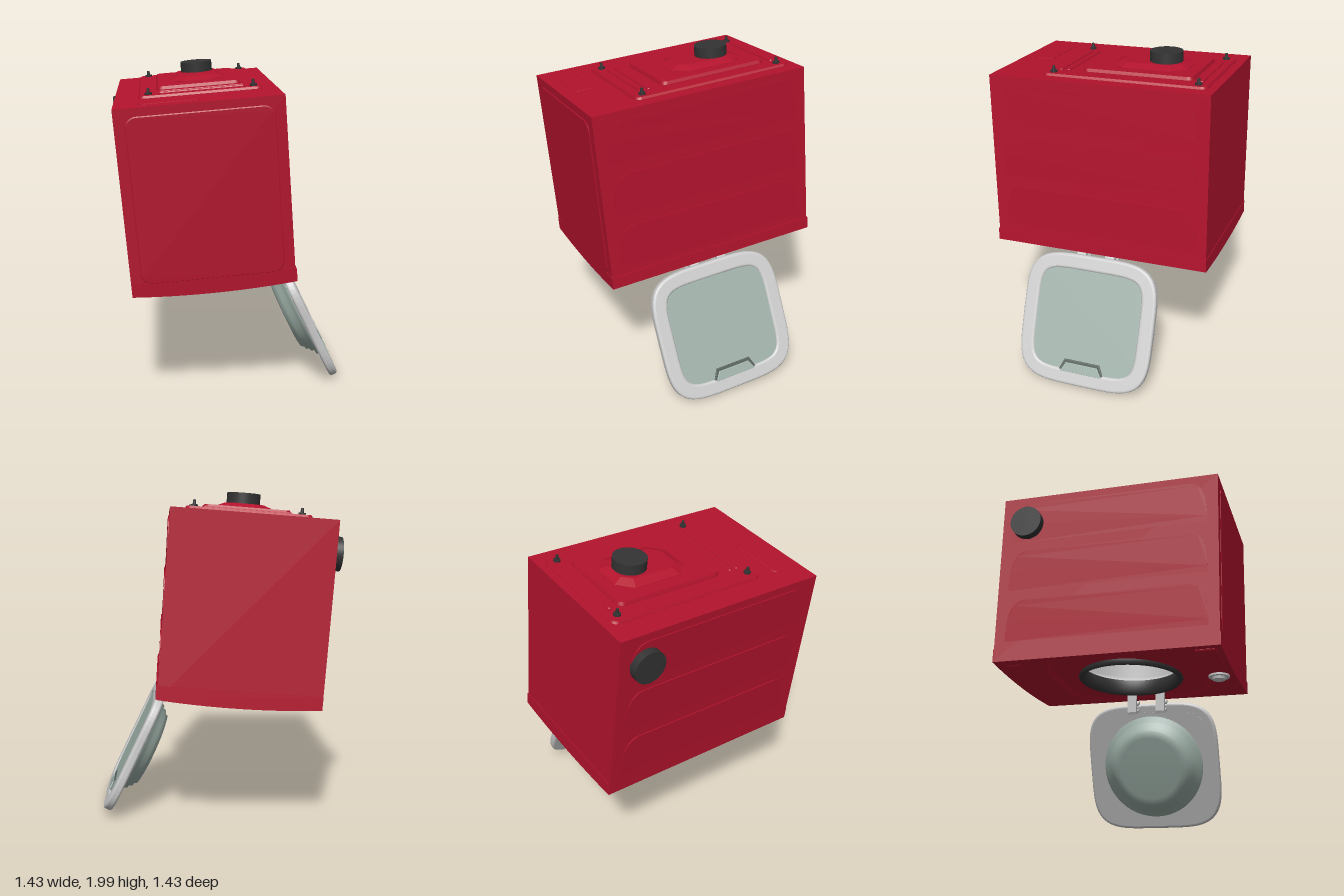
import * as THREE from 'three';
import { ParametricGeometry } from 'three/addons/geometries/ParametricGeometry.js';

const mat = (color, side = THREE.FrontSide) => new THREE.MeshStandardMaterial({ color, side });
const RED = mat(0xb3132d), DARK = mat(0x333333, THREE.DoubleSide), GLASS = mat(0x9fb1a9, THREE.DoubleSide);
const GREY = mat(0xcccccc), STEEL = mat(0xcccccc, THREE.DoubleSide);
const W = 0.95, H = 1.087, D = 1.37, BULGE = 0.02;
const BX = W / 2, BY = H / 2, BZ = D / 2;

function add(parent, name, geometry, material, x = 0, y = 0, z = 0) {
  const mesh = new THREE.Mesh(geometry, material);
  mesh.name = name;
  mesh.position.set(x, y, z);
  parent.add(mesh);
  return mesh;
}

function roundedRect(w, h, r) {
  const s = new THREE.Shape(), a = w / 2, b = h / 2;
  s.absarc(a - r, b - r, r, 0, Math.PI / 2);
  s.absarc(-a + r, b - r, r, Math.PI / 2, Math.PI);
  s.absarc(-a + r, -b + r, r, Math.PI, Math.PI * 1.5);
  s.absarc(a - r, -b + r, r, Math.PI * 1.5, Math.PI * 2);
  s.closePath();
  return s;
}

// superellipse outline, used for the door
function squircle(a, b, n = 4.5, count = 72) {
  const pts = [];
  for (let i = 0; i < count; i++) {
    const t = (i / count) * Math.PI * 2, c = Math.cos(t), s = Math.sin(t);
    pts.push(new THREE.Vector2(Math.sign(c) * a * Math.abs(c) ** (2 / n), Math.sign(s) * b * Math.abs(s) ** (2 / n)));
  }
  return pts;
}

// raised plate lying on z = 0 with a chamfered rim; w and h are the foot size
function plate(w, h, r, height, chamfer = 0.008) {
  return new THREE.ExtrudeGeometry(roundedRect(w - 2 * chamfer, h - 2 * chamfer, r), {
    depth: 0.002, bevelEnabled: true, bevelSegments: 1, curveSegments: 8,
    bevelSize: chamfer, bevelThickness: height - 0.002,
  });
}
const flat = (g) => g.rotateX(-Math.PI / 2);

// bulged loading face between the porthole circle and the rectangular edge
function loadingFace(cx, cz, radius) {
  const per = [[1, -1], [1, 1], [-1, 1], [-1, -1], [1, -1]];
  return new ParametricGeometry((u, v, p) => {
    const k = Math.min(Math.floor(u * 4), 3), f = u * 4 - k;
    const ex = BX * THREE.MathUtils.lerp(per[k][0], per[k + 1][0], f);
    const ez = BZ * THREE.MathUtils.lerp(per[k][1], per[k + 1][1], f);
    const t = Math.atan2(ez - cz, ex - cx);
    const x = THREE.MathUtils.lerp(cx + radius * Math.cos(t), ex, v);
    const z = THREE.MathUtils.lerp(cz + radius * Math.sin(t), ez, v);
    // shallow seat for the closed door
    const q = (Math.abs((x - cx) / 0.45) ** 4.5 + Math.abs((z - cz) / 0.47) ** 4.5) ** (1 / 4.5);
    const seat = 0.03 * (1 - THREE.MathUtils.smoothstep(q, 0.93, 1));
    p.set(x, -BY - BULGE * (1 - (x / BX) ** 2) + seat, z);
  }, 128, 40);
}

function buildCabinet(body) {
  // shell, open on the loading side
  const shell = new THREE.BoxGeometry(W, H, D);
  const index = Array.from(shell.index.array);
  index.splice(18, 6);
  shell.setIndex(index);
  shell.clearGroups();
  add(body, 'cabinet', shell, RED);
  const face = add(body, 'loadingFace', loadingFace(0, 0.035, 0.31), RED);
  face.material = mat(0xb3132d, THREE.DoubleSide);

  // curved ends and side lip of the loading face
  const end = new THREE.Shape();
  end.moveTo(-BX, 0.08);
  end.lineTo(-BX, 0);
  end.quadraticCurveTo(0, -2 * BULGE, BX, 0);
  end.lineTo(BX, 0.08);
  for (const s of [-1, 1])
    add(body, 'faceEnd', new THREE.ExtrudeGeometry(end, { depth: 0.008, bevelEnabled: false, curveSegments: 20 }),
      RED, 0, -BY, s * BZ - 0.004);
  add(body, 'faceLip', new THREE.BoxGeometry(0.012, 0.075, D + 0.008), RED, BX + 0.002, -BY + 0.04, 0);

  // worktop panel
  add(body, 'worktopPanel', plate(0.83, 0.97, 0.06, 0.005, 0.006), RED, 0, 0.01, BZ);

  // pressed panels on both sides, each fading into the wall at its lower edge
  for (const s of [-1, 1]) for (const top of [0.495, 0.17, -0.16]) {
    const a = 0.62, h = 0.26, r = 0.12, p = new THREE.Shape();
    p.moveTo(-a, 0);
    p.lineTo(a, 0);
    p.bezierCurveTo(a, h * 0.6, a - 0.02, h, a - r, h);
    p.lineTo(-a + r, h);
    p.bezierCurveTo(-a + 0.02, h, -a, h * 0.6, -a, 0);
    const g = new THREE.ExtrudeGeometry(p, { depth: 0.006, bevelEnabled: false });
    g.translate(0, 0, -0.006).rotateX(0.024).rotateY(s * Math.PI / 2);
    add(body, 'sidePanel', g, RED, s * BX, top - h, 0);
  }
}

function buildRearWall(body) {
  add(body, 'rearPlate', flat(plate(0.725, 1.015, 0.03, 0.015)), RED, 0.028, BY, -0.128);
  add(body, 'rearInnerPlate', flat(plate(0.51, 0.69, 0.03, 0.02)), RED, 0.03, BY + 0.015, -0.18);
  // faceted hub
  const hub = new THREE.Shape(), a = 0.115, b = 0.18, c = 0.05;
  [[a, b - c], [a - c, b], [c - a, b], [-a, b - c], [-a, c - b], [c - a, -b], [a - c, -b], [a, c - b]]
    .forEach(([x, y], i) => (i ? hub.lineTo(x, y) : hub.moveTo(x, y)));
  const hubGeo = new THREE.ExtrudeGeometry(hub, { depth: 0.002, bevelSegments: 1, bevelSize: 0.055, bevelThickness: 0.023 });
  add(body, 'rearHub', flat(hubGeo), RED, 0.035, BY + 0.035, -0.21);
  add(body, 'hubCap', new THREE.CylinderGeometry(0.1, 0.1, 0.065, 40), DARK, 0.04, BY + 0.09, -0.288);
  for (const z of [-0.575, 0.25, 0.3])
    add(body, 'rearRib', flat(plate(0.505, 0.026, 0.008, 0.008, 0.004)), RED, 0.037, BY + 0.015, z);
  add(body, 'accessPanel', flat(plate(0.35, 0.125, 0.025, 0.005, 0.005)), RED, -0.16, BY, 0.542);
  for (const x of [-0.275, 0.34]) for (const z of [-0.575, 0.32]) {
    add(body, 'boltWasher', new THREE.CylinderGeometry(0.021, 0.021, 0.012, 20), DARK, x, BY + 0.02, z);
    add(body, 'bolt', new THREE.CylinderGeometry(0.008, 0.011, 0.03, 10), DARK, x, BY + 0.038, z);
  }
  const port = new THREE.CylinderGeometry(0.1, 0.1, 0.055, 40).rotateZ(Math.PI / 2);
  add(body, 'sidePort', port, DARK, -BX - 0.025, 0.353, -0.515);
}

function buildDrum(body) {
  const lathe = (pts) => new THREE.LatheGeometry(pts.map(([x, y]) => new THREE.Vector2(x, y)), 64);
  const drum = new THREE.Group();
  drum.name = 'drum';
  drum.position.z = 0.035;
  body.add(drum);
  add(drum, 'gasket', lathe([[0.32, -0.515], [0.325, -0.545], [0.31, -0.56], [0.295, -0.55], [0.285, -0.5], [0.3, -0.46]]), DARK);
  add(drum, 'drumShell', lathe([[0.3, -0.47], [0.38, -0.44], [0.4, -0.4], [0.4, 0.24], [0.36, 0.28], [0, 0.28]]), STEEL);
  for (let i = 0; i < 3; i++) {
    const t = (i / 3) * Math.PI * 2 + 0.8;
    const paddle = add(drum, 'paddle', new THREE.CylinderGeometry(0.03, 0.06, 0.62, 3), GREY,
      0.37 * Math.cos(t), -0.08, 0.37 * Math.sin(t));
    paddle.rotation.y = -t - Math.PI / 2;
  }
}

function buildControls(body) {
  add(body, 'dialBase', new THREE.CylinderGeometry(0.064, 0.064, 0.02, 36), GREY, 0, -BY - 0.022, 0.59);
  add(body, 'dial', new THREE.CylinderGeometry(0.045, 0.04, 0.025, 36), GREY, 0, -BY - 0.035, 0.59);
  const down = (g) => g.rotateX(Math.PI / 2);
  const drawer = add(body, 'detergentDrawer', down(plate(0.25, 0.13, 0.015, 0.01, 0.004)), RED, -0.31, -BY - 0.01, 0.59);
  drawer.rotation.z = -0.055;
  const filter = add(body, 'filterCover', down(plate(0.17, 0.11, 0.01, 0.008, 0.004)), RED, -0.33, -BY - 0.008, -0.58);
  filter.rotation.z = -0.06;
}

// door frame: x runs away from the hinge, y points out of the door
function buildDoor(body) {
  const door = new THREE.Group();
  door.name = 'door';
  door.position.set(0.441, -0.58, 0.038);
  door.rotation.z = THREE.MathUtils.degToRad(-68.8);
  body.add(door);
  const mid = 0.415;
  const frame = new THREE.Shape(squircle(0.398, 0.422));
  frame.holes.push(new THREE.Path(squircle(0.335, 0.36, 5.5).reverse()));
  const frameGeo = new THREE.ExtrudeGeometry(frame, {
    depth: 0.022, bevelSegments: 4, bevelSize: 0.017, bevelThickness: 0.016,
  });
  add(door, 'doorFrame', flat(frameGeo), GREY, mid, -0.012, 0);
  const pane = new THREE.ExtrudeGeometry(new THREE.Shape(squircle(0.345, 0.37, 5.5)), { depth: 0.012, bevelEnabled: false });
  add(door, 'doorWindow', flat(pane), GLASS, mid, 0.004, 0);
  const liner = new THREE.ExtrudeGeometry(new THREE.Shape(squircle(0.36, 0.39)), { depth: 0.012, bevelEnabled: false });
  add(door, 'doorLiner', flat(liner), GREY, mid, -0.03, 0);

  // stepped glass bowl on the inner side
  const bowl = [[0.335, -0.025], [0.33, -0.045], [0.3, -0.05], [0.295, -0.07], [0.275, -0.075],
    [0.27, -0.095], [0.25, -0.1], [0.24, -0.118], [0.2, -0.125], [0, -0.125]];
  add(door, 'glassBowl', new THREE.LatheGeometry(bowl.map(([x, y]) => new THREE.Vector2(x, y)), 64), GLASS, mid, 0, 0);

  // grip at the free edge
  const grip = new THREE.Shape();
  [[-0.04, -0.115], [0.035, -0.15], [0.035, 0.15], [-0.04, 0.115]]
    .forEach(([x, z], i) => (i ? grip.lineTo(x, z) : grip.moveTo(x, z)));
  const gripGeo = () => flat(new THREE.ExtrudeGeometry(grip, {
    depth: 0.004, bevelSegments: 2, bevelSize: 0.004, bevelThickness: 0.003 }));
  add(door, 'gripRim', gripGeo(), mat(0x56605c), 0.715, 0.016, 0);
  add(door, 'grip', gripGeo().scale(0.72, 1, 0.9), GLASS, 0.722, 0.021, 0);

  // hinge brackets between the loading face and the door
  for (const z of [-0.095, 0.095]) {
    const arm = add(body, 'hingeArm', new THREE.BoxGeometry(0.018, 0.13, 0.06), GREY, 0.36, -BY - 0.05, z + 0.035);
    arm.rotation.z = 0.03;
    const foot = add(body, 'hingeFoot', new THREE.BoxGeometry(0.1, 0.018, 0.06), GREY, 0.4, -BY - 0.1, z + 0.035);
    foot.rotation.z = 0.45;
    add(body, 'hingePin', new THREE.CylinderGeometry(0.018, 0.018, 0.06, 16).rotateX(Math.PI / 2), GREY, 0.43, -0.58, z + 0.035);
  }
}

export function createModel() {
  const model = new THREE.Group();
  model.name = 'washingMachine';
  // the whole machine lies tipped onto its loading side, slightly askew
  const body = new THREE.Group();
  body.name = 'tippedMachine';
  body.position.set(-0.155, 1.315, 0);
  body.rotation.set(0.044, 0, 0.08);
  model.add(body);
  buildCabinet(body);
  buildRearWall(body);
  buildDrum(body);
  buildControls(body);
  buildDoor(body);
  return model;
}
